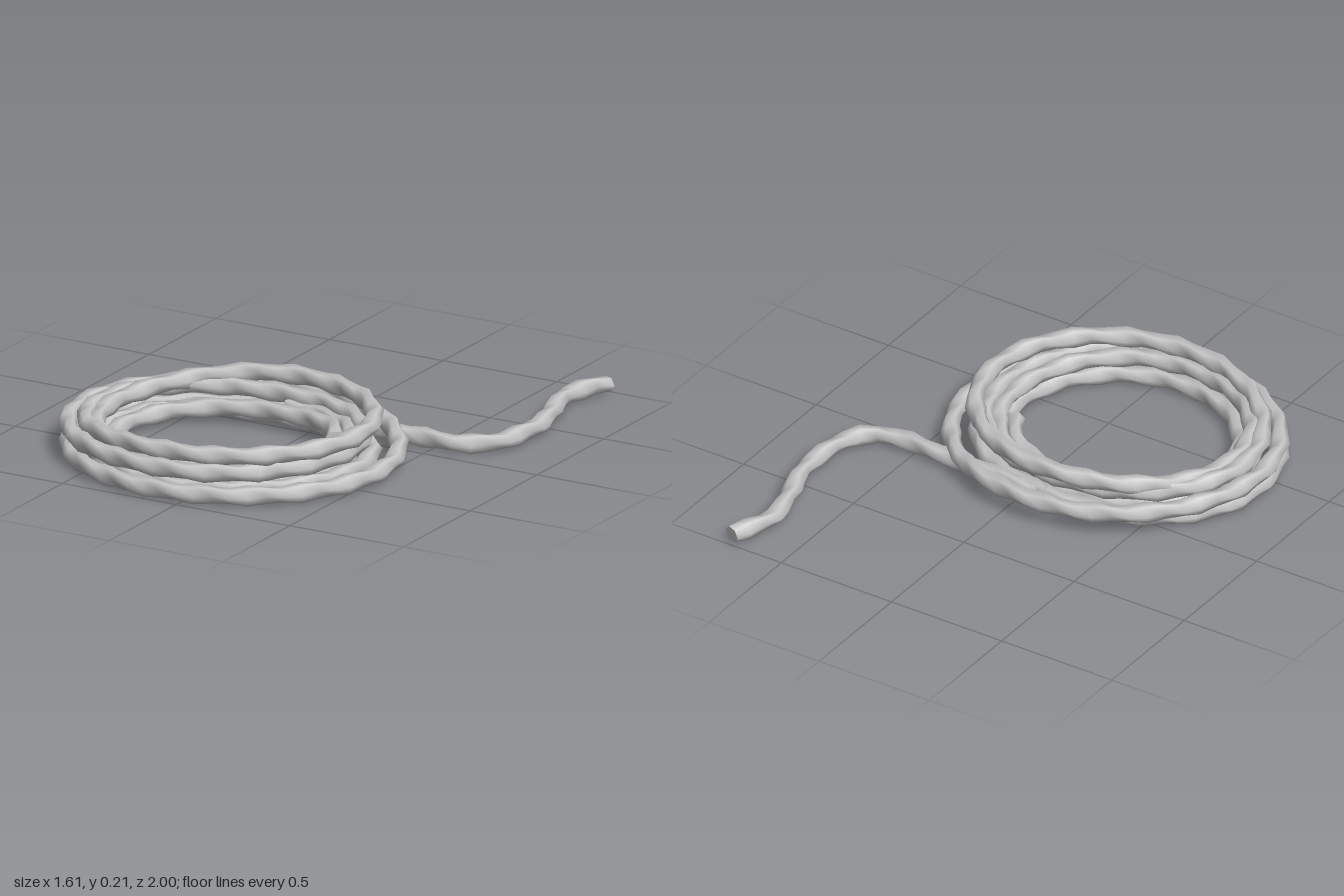
import * as THREE from 'three';

const ropeMaterial = new THREE.MeshStandardMaterial({ color: 0xc6c6c6 });
const CX = -0.11, CZ = 0.38;

// Points of a coil. Each station is [quarterTurn, radius, height];
// quarter turns run back, right-hand side (-x), front, left-hand side (+x).
function coil(stations) {
  const points = [];
  for (let i = 0; i < stations.length - 1; i++) {
    const a = stations[i], b = stations[i + 1];
    const last = i === stations.length - 2;
    for (let k = 0; k < (last ? 6 : 5); k++) {
      const t = k / 5, s = t * t * (3 - 2 * t);
      const angle = THREE.MathUtils.lerp(a[0], b[0], t) * Math.PI / 2;
      const r = THREE.MathUtils.lerp(a[1], b[1], s);
      const y = THREE.MathUtils.lerp(a[2], b[2], s);
      points.push(new THREE.Vector3(CX - r * Math.sin(angle), y, CZ - r * Math.cos(angle)));
    }
  }
  return points;
}

// Sweep a six-sided oval along the path, turning it to give the twisted lay.
function twistedRope(points, name) {
  const curve = new THREE.CatmullRomCurve3(points, false, 'centripetal');
  curve.arcLengthDivisions = 1500;
  const sides = 6, rows = Math.round(curve.getLength() / 0.068);
  const up = new THREE.Vector3(0, 1, 0);
  const positions = [], index = [];
  for (let i = 0; i <= rows; i++) {
    const p = curve.getPointAt(i / rows), tangent = curve.getTangentAt(i / rows);
    const side = new THREE.Vector3().crossVectors(up, tangent).normalize();
    const normal = new THREE.Vector3().crossVectors(tangent, side);
    const twist = i * Math.PI / 3;
    for (let j = 0; j < sides; j++) {
      const a = j / sides * Math.PI * 2;
      const u = 0.041 * Math.cos(a), v = 0.029 * Math.sin(a);
      const x = u * Math.cos(twist) - v * Math.sin(twist);
      const y = u * Math.sin(twist) + v * Math.cos(twist);
      const q = p.clone().addScaledVector(side, x).addScaledVector(normal, y);
      positions.push(q.x, q.y, q.z);
      if (i < rows) {
        const p0 = i * sides + j, p1 = i * sides + (j + 1) % sides;
        index.push(p0, p1, p0 + sides, p1, p1 + sides, p0 + sides);
      }
    }
  }
  const geometry = new THREE.BufferGeometry();
  geometry.setAttribute('position', new THREE.Float32BufferAttribute(positions, 3));
  geometry.setIndex(index);
  geometry.computeVertexNormals();

  const group = new THREE.Group();
  group.name = name;
  const strand = new THREE.Mesh(geometry, ropeMaterial);
  strand.name = name + 'Strand';
  group.add(strand);

  // Flat cut ends
  for (const row of [0, rows]) {
    const ring = positions.slice(row * sides * 3, (row + 1) * sides * 3);
    const faces = [];
    for (let j = 1; j < sides - 1; j++) faces.push(...(row ? [0, j, j + 1] : [0, j + 1, j]));
    const cap = new THREE.BufferGeometry();
    cap.setAttribute('position', new THREE.Float32BufferAttribute(ring, 3));
    cap.setIndex(faces);
    cap.computeVertexNormals();
    const mesh = new THREE.Mesh(cap, ropeMaterial);
    mesh.name = name + 'CutEnd';
    group.add(mesh);
  }
  return group;
}

export function createModel() {
  const model = new THREE.Group();
  model.name = 'ropeCoil';

  // Loose tail lying on the ground
  const tail = [
    [0.735, -0.985], [0.69, -0.88], [0.672, -0.78], [0.71, -0.62], [0.757, -0.46],
    [0.757, -0.3], [0.72, -0.15], [0.61, -0.077], [0.45, -0.075], [0.2, -0.085],
  ].map(([x, z]) => new THREE.Vector3(x, 0.045, z));

  // Outer turns climb to the top layer, then drop inside
  const outer = coil([
    [0, 0.47, 0.042], [1, 0.64, 0.042], [2, 0.583, 0.042], [3, 0.635, 0.047],
    [4, 0.6, 0.095], [5, 0.653, 0.11], [6, 0.535, 0.112], [7, 0.51, 0.112],
    [8, 0.445, 0.12], [9, 0.58, 0.13], [10, 0.5, 0.172], [11, 0.545, 0.178],
    [12, 0.5, 0.182], [13, 0.53, 0.13], [14, 0.48, 0.11], [15, 0.455, 0.1],
    [16, 0.41, 0.08],
  ]);
  model.add(twistedRope([...tail, ...outer], 'outerRope'));

  // Inner turns, starting from the free inner end and merging under the tail
  const inner = coil([
    [-0.74, 0.39, 0.09], [0, 0.36, 0.075], [1, 0.48, 0.05], [2, 0.46, 0.042],
    [3, 0.45, 0.042], [4, 0.41, 0.045], [5, 0.54, 0.045], [6, 0.52, 0.045],
    [7, 0.54, 0.045], [8, 0.47, 0.045],
  ]);
  model.add(twistedRope(inner, 'innerRope'));
  return model;
}
